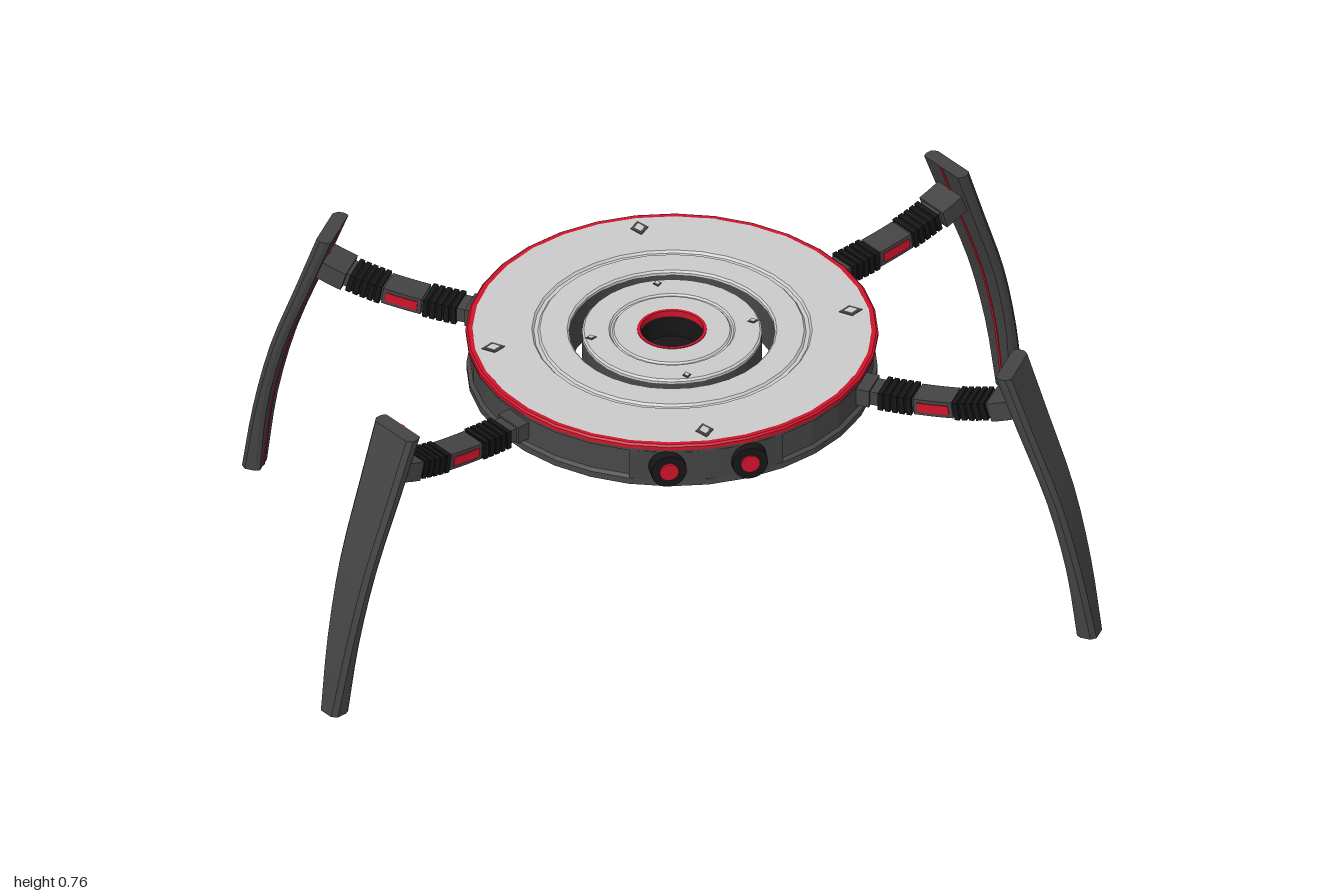
import * as THREE from 'three';
import { toCreasedNormals } from 'three/addons/utils/BufferGeometryUtils.js';

const mat = (color, flatShading = false) => new THREE.MeshStandardMaterial({ color, flatShading, side: THREE.DoubleSide });
const PLATE = mat(0xcccccc), DARK = mat(0x444444), SHELL = mat(0x484848, true);
const BLACK = mat(0x161616), RED = mat(0xd0142c);
const SIDES = 32;

function add(parent, name, geometry, material, x = 0, y = 0, z = 0) {
  const mesh = new THREE.Mesh(geometry, material);
  mesh.name = name;
  mesh.position.set(x, y, z);
  parent.add(mesh);
  return mesh;
}

// Turned part from [radius, height] pairs, with crisp profile edges
function lathe(profile, segments = SIDES, start = 0, length = Math.PI * 2) {
  const points = profile.map(([r, y]) => new THREE.Vector2(r, y));
  return toCreasedNormals(new THREE.LatheGeometry(points, segments, start, length), 0.4);
}

// Solid skinned over a row of equal cross-sections, each a loop of [x, y, z]
function loft(sections) {
  const n = sections[0].length, index = [];
  for (let i = 0; i < sections.length - 1; i++) {
    for (let j = 0; j < n; j++) {
      const a = i * n + j, b = i * n + (j + 1) % n;
      index.push(a, b, b + n, a, b + n, a + n);
    }
  }
  const end = (sections.length - 1) * n;
  for (let j = 1; j < n - 1; j++) index.push(0, j + 1, j, end, end + j, end + j + 1);
  const g = new THREE.BufferGeometry();
  g.setAttribute('position', new THREE.Float32BufferAttribute(sections.flat(2), 3));
  g.setIndex(index);
  return toCreasedNormals(g, 0.35);
}

// Centre line of an arm, running outward along +x
const armCurve = new THREE.CatmullRomCurve3([
  [0.47, 0.597], [0.6, 0.597], [0.76, 0.612], [0.86, 0.635], [0.93, 0.66],
].map(([x, y]) => new THREE.Vector3(x, y, 0)));

// Rectangular piece of the arm between two fractions of its length
function armPiece(from, to, width, height, steps = 4) {
  const sections = [];
  for (let i = 0; i <= steps; i++) {
    const u = from + (to - from) * i / steps;
    const p = armCurve.getPointAt(u), t = armCurve.getTangentAt(u);
    const corner = (side, up) => [p.x - t.y * up * height / 2, p.y + t.x * up * height / 2, side * width / 2];
    sections.push([corner(1, -1), corner(-1, -1), corner(-1, 1), corner(1, 1)]);
  }
  return loft(sections);
}

// Leg stations: height, centre radius, width, thickness
const legStations = [
  [0, 1.107, 0.064, 0.05], [0.2, 1.078, 0.094, 0.038], [0.4, 1.03, 0.116, 0.036],
  [0.6, 0.958, 0.132, 0.038], [0.76, 0.9, 0.142, 0.04],
];
const legCurve = new THREE.CatmullRomCurve3(legStations.map(([y, r]) => new THREE.Vector3(r, y, 0)));
const sizeCurve = new THREE.CatmullRomCurve3(legStations.map(([y, , w, t]) => new THREE.Vector3(w, y, t)));

function makeLeg() {
  const leg = new THREE.Group();
  leg.name = 'leg';

  // Arm core, ribbed joints, collars and red side inserts
  add(leg, 'arm', armPiece(0, 1, 0.064, 0.038, 14), DARK);
  add(leg, 'armSocket', armPiece(0, 0.14, 0.078, 0.048), DARK);
  for (const start of [0.19, 0.62]) {
    for (let i = 0; i < 5; i++) {
      const u = start + i * 0.04;
      add(leg, 'jointRib', armPiece(u, u + 0.028, 0.08, 0.05, 1), BLACK);
    }
    add(leg, 'jointSleeve', armPiece(start, start + 0.19, 0.073, 0.044), BLACK);
  }
  add(leg, 'armCover', armPiece(0.39, 0.61, 0.072, 0.045), DARK);
  add(leg, 'armInsert', armPiece(0.41, 0.59, 0.077, 0.026), RED);
  add(leg, 'legMount', armPiece(0.83, 1, 0.09, 0.052), DARK);

  // Curved blade with a bevelled outer face, and a thin red seam on its inside
  const blade = [], seam = [];
  for (let i = 0; i <= 12; i++) {
    const p = legCurve.getPoint(i / 12), s = sizeCurve.getPoint(i / 12);
    const w = s.x / 2, t = s.z / 2, c = 0.012, y = p.y;
    blade.push([
      [p.x - t, y, w - 0.006], [p.x - t + c, y, w], [p.x + t - c, y, w], [p.x + t, y, w - c],
      [p.x + t, y, c - w], [p.x + t - c, y, -w], [p.x - t + c, y, -w], [p.x - t, y, 0.006 - w],
    ]);
    const inner = p.x - t;
    seam.push([[inner - 0.002, y, 0.004], [inner + 0.004, y, 0.004], [inner + 0.004, y, -0.004], [inner - 0.002, y, -0.004]]);
  }
  add(leg, 'legBlade', loft(blade), DARK);
  add(leg, 'legSeam', loft(seam), RED);
  return leg;
}

export function createModel() {
  const model = new THREE.Group();
  model.name = 'fourLeggedRobot';

  // Outer body ring with recessed waist, open between it and the core
  add(model, 'bodyRing', lathe([
    [0.257, 0.535], [0.262, 0.53], [0.5, 0.53], [0.513, 0.537], [0.513, 0.554], [0.503, 0.56],
    [0.503, 0.632], [0.513, 0.638], [0.513, 0.649], [0.257, 0.649], [0.257, 0.535],
  ]), SHELL);
  add(model, 'redRim', lathe([
    [0.49, 0.646], [0.515, 0.646], [0.515, 0.656], [0.51, 0.66], [0.498, 0.66], [0.498, 0.646],
  ]), RED);
  add(model, 'topPlate', lathe([
    [0.499, 0.648], [0.499, 0.66], [0.35, 0.66], [0.345, 0.654], [0.335, 0.654], [0.33, 0.66],
    [0.262, 0.66], [0.257, 0.655], [0.257, 0.648],
  ]), PLATE);

  // Central core with a dark well in its top
  add(model, 'core', lathe([
    [0, 0.53], [0.22, 0.53], [0.225, 0.535], [0.225, 0.649], [0.085, 0.649], [0.085, 0.58], [0, 0.58],
  ]), SHELL);
  add(model, 'corePlate', lathe([
    [0.225, 0.648], [0.225, 0.655], [0.22, 0.66], [0.158, 0.66], [0.154, 0.655], [0.149, 0.655],
    [0.145, 0.66], [0.085, 0.66], [0.085, 0.64],
  ]), PLATE);
  add(model, 'wellRim', lathe([[0.087, 0.65], [0.087, 0.662], [0.079, 0.662], [0.079, 0.645]]), RED);
  add(model, 'well', lathe([[0.08, 0.655], [0.08, 0.585], [0, 0.585]]), BLACK);

  // Diamond fasteners, four on each plate
  for (const [radius, size] of [[0.453, 0.03], [0.205, 0.014]]) {
    for (let i = 0; i < 4; i++) {
      const holder = new THREE.Group();
      holder.name = 'fastener';
      holder.rotation.y = i * Math.PI / 2;
      const rim = add(holder, 'fastenerRim', new THREE.CylinderGeometry(size, size, 0.004, 4), DARK, radius, 0.66, 0);
      const face = add(holder, 'fastenerFace', new THREE.CylinderGeometry(size * 0.6, size * 0.6, 0.004, 4), PLATE, radius, 0.661, 0);
      rim.scale.z = face.scale.z = 0.75;
      model.add(holder);
    }
  }

  // Curved front panel with two round eyes
  add(model, 'facePanel', lathe([
    [0.495, 0.55], [0.512, 0.553], [0.512, 0.639], [0.495, 0.642],
  ], 8, -0.39, 0.78), DARK);
  for (const side of [-1, 1]) {
    const x = side * 0.103;
    const socket = add(model, 'eyeSocket', new THREE.CylinderGeometry(0.045, 0.047, 0.06, 24), BLACK, x, 0.596, 0.495);
    const lens = add(model, 'eyeLens', new THREE.CylinderGeometry(0.024, 0.026, 0.01, 24), RED, x, 0.596, 0.524);
    socket.rotation.x = lens.rotation.x = Math.PI / 2;
  }

  // Four legs, spread thirty degrees from the x axis
  for (const degrees of [30, 150, 210, 330]) {
    const leg = makeLeg();
    leg.rotation.y = THREE.MathUtils.degToRad(degrees);
    model.add(leg);
  }
  return model;
}
